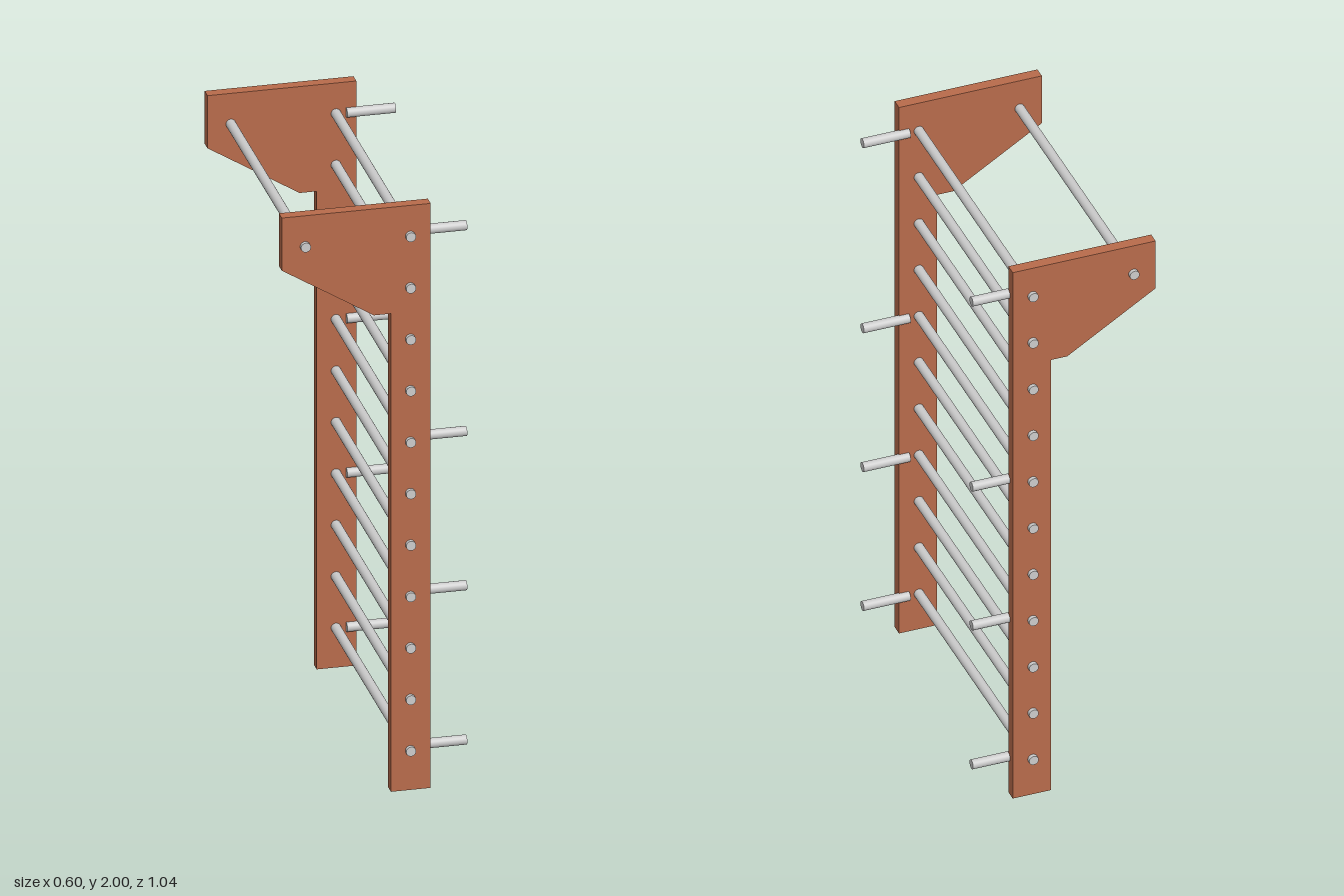
import * as THREE from 'three';

const wood = new THREE.MeshStandardMaterial({ color: 0xb86b4b });
const metal = new THREE.MeshStandardMaterial({ color: 0xcccccc });

const RADIUS = 0.016;
const RUNG_X = 0.112;
const RUNG_COUNT = 11;
const rungY = (i) => 0.136 + i * 0.176;

export function createModel() {
  const model = new THREE.Group();
  model.name = 'wallBars';

  const add = (name, geometry, material, x, y, z) => {
    const mesh = new THREE.Mesh(geometry, material);
    mesh.name = name;
    mesh.position.set(x, y, z);
    model.add(mesh);
  };

  // Side panels: an upright with an overhanging bracket at the top
  const outline = new THREE.Shape([
    [0.05, 0], [0.178, 0], [0.178, 2], [-0.302, 2],
    [-0.302, 1.82], [-0.005, 1.636], [0.05, 1.636],
  ].map(([x, y]) => new THREE.Vector2(x, y)));
  const thickness = 0.038;
  const panel = new THREE.ExtrudeGeometry(outline, { depth: thickness, bevelEnabled: false });
  panel.translate(0, 0, -thickness / 2);
  add('leftPanel', panel, wood, 0, 0, 0.489);
  add('rightPanel', panel, wood, 0, 0, -0.489);

  // Rungs pass through both panels
  const rung = new THREE.CylinderGeometry(RADIUS, RADIUS, 1.042, 24).rotateX(Math.PI / 2);
  for (let i = 0; i < RUNG_COUNT; i++) add(`rung${i + 1}`, rung, metal, RUNG_X, rungY(i), 0);

  // Pull-up bar held by the brackets
  add('pullUpBar', rung, metal, -0.227, rungY(RUNG_COUNT - 1), 0);

  // Wall mounting pegs at the inner edge of each panel
  const start = 0.145, end = 0.302;
  const peg = new THREE.CylinderGeometry(RADIUS, RADIUS, end - start, 24).rotateZ(Math.PI / 2);
  for (const i of [0, 3, 6, 10]) {
    for (const side of [1, -1]) {
      add(`mountingPeg${side > 0 ? 'Front' : 'Back'}${i + 1}`, peg, metal,
        (start + end) / 2, rungY(i), side * 0.469);
    }
  }
  return model;
}
